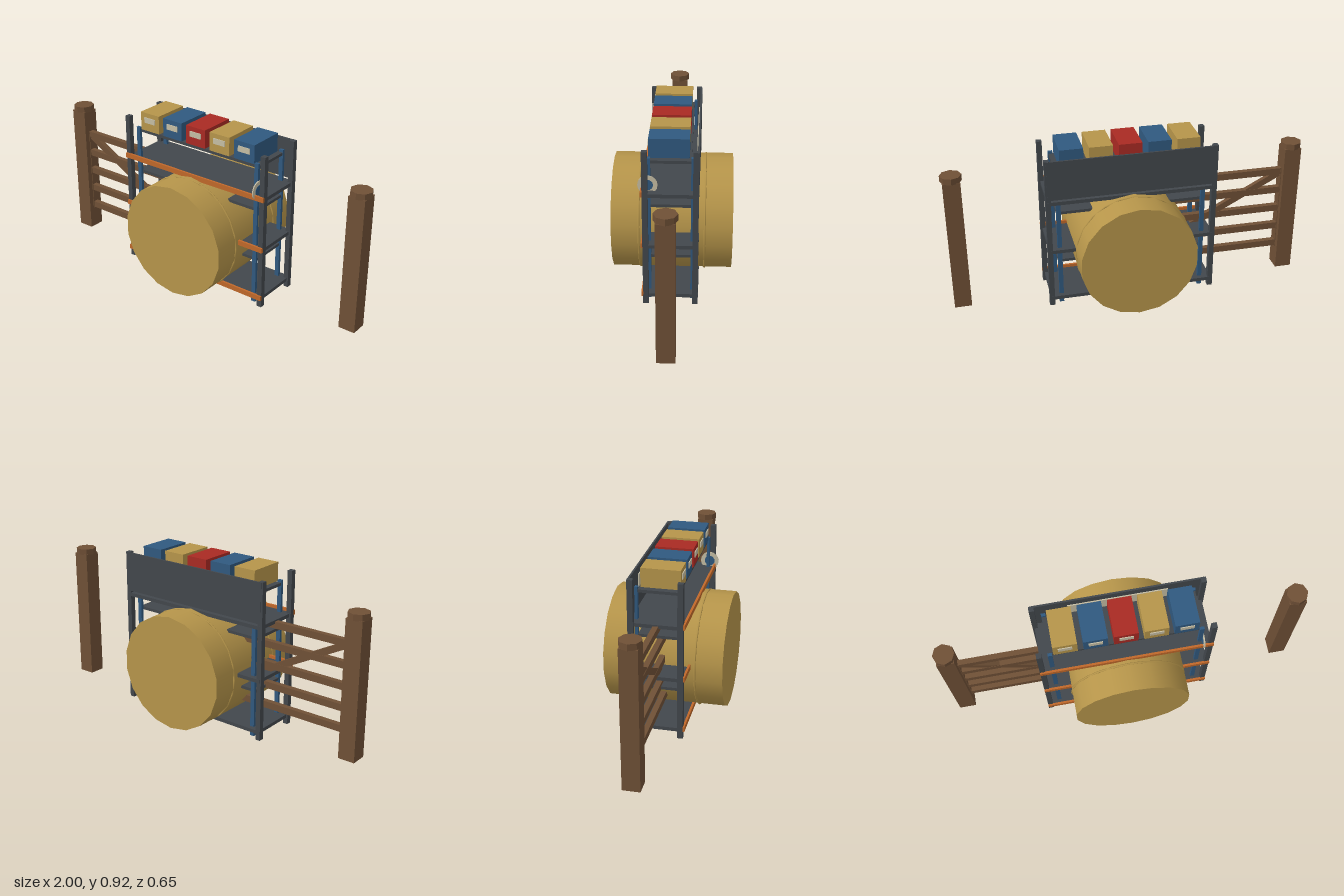
import * as THREE from 'three';

const paint = (name, color) => {
  const m = new THREE.MeshStandardMaterial({ color });
  m.name = name;
  return m;
};

export function createModel() {
  const root = new THREE.Group();
  root.name = 'farmStore';
  const wood = paint('brownWood', 0x6f5036);
  const straw = paint('straw', 0xb6954a);
  const blue = paint('blue', 0x30597f);
  const red = paint('red', 0xa92a23);
  const orange = paint('orange', 0xc0682a);
  const steel = paint('darkSteel', 0x42474c);
  const cream = paint('cream', 0xc6bea4);

  const group = (name) => {
    const g = new THREE.Group();
    g.name = name;
    root.add(g);
    return g;
  };
  const add = (parent, name, geometry, material, x, y, z) => {
    const m = new THREE.Mesh(geometry, material);
    m.name = name;
    m.position.set(x, y, z);
    parent.add(m);
    return m;
  };
  // Box given by its extents
  const box = (parent, name, material, x0, x1, y0, y1, z0, z1) =>
    add(parent, name, new THREE.BoxGeometry(x1 - x0, y1 - y0, z1 - z0), material,
      (x0 + x1) / 2, (y0 + y1) / 2, (z0 + z1) / 2);

  // Gate posts with eight-sided caps
  for (const s of [-1, 1]) {
    const post = group(s < 0 ? 'rightGatePost' : 'leftGatePost');
    const x = s * 0.942;
    box(post, 'postShaft', wood, x - 0.047, x + 0.047, 0.005, 0.768, -0.047, 0.047);
    const cap = new THREE.CylinderGeometry(0.058, 0.058, 0.034, 8).toNonIndexed();
    cap.computeVertexNormals();
    add(post, 'postCap', cap, wood, x, 0.783, 0);
  }

  // Five-bar gate with a diagonal brace
  const gate = group('gate');
  for (const y of [0.155, 0.272, 0.389, 0.506, 0.623]) {
    box(gate, 'gateRail', wood, -0.9, 0.02, y - 0.019, y + 0.019, -0.015, 0.015);
  }
  for (const x of [-0.91, 0]) box(gate, 'gateStile', wood, x - 0.019, x + 0.019, 0.13, 0.64, -0.018, 0.018);
  const dx = 0.88, dy = -0.47;
  const brace = add(gate, 'gateBrace', new THREE.BoxGeometry(Math.hypot(dx, dy), 0.036, 0.026), wood, -0.44, 0.375, 0);
  brace.rotation.z = Math.atan2(dy, dx);
  box(gate, 'gatePlate', straw, -0.255, -0.08, 0.605, 0.632, 0.015, 0.022);

  // Round bale lying along z, with two twine bands
  const bale = group('roundBale');
  add(bale, 'baleBody', new THREE.CylinderGeometry(0.322, 0.322, 0.65, 18).rotateX(Math.PI / 2), straw, 0, 0.328, 0);
  for (const z of [-0.176, 0.176]) {
    add(bale, 'baleTwine', new THREE.TorusGeometry(0.32, 0.006, 6, 24), straw, 0, 0.328, z);
  }

  // Outer rack: steel uprights, boards, side bars and orange front beams
  const rack = group('outerRack');
  for (const x of [-0.456, 0.456]) {
    for (const z of [-0.13, 0.13]) {
      box(rack, 'rackUpright', steel, x - 0.014, x + 0.014, 0.005, 0.887, z - 0.015, z + 0.015);
    }
  }
  for (const y of [0.05, 0.345, 0.64]) {
    box(rack, 'rackBoard', steel, -0.46, 0.46, y - 0.01, y + 0.01, -0.146, 0.14);
    box(rack, 'rackBeam', orange, -0.47, 0.47, y - 0.002, y + 0.026, 0.142, 0.154);
  }
  box(rack, 'backPanel', steel, -0.46, 0.46, 0.662, 0.885, -0.147, -0.137);
  box(rack, 'panelSign', cream, -0.268, 0.268, 0.74, 0.84, -0.137, -0.131);

  // Inner shelf unit with blue legs
  const shelves = group('innerShelves');
  for (const x of [-0.4, 0.4]) {
    for (const z of [-0.112, 0.112]) {
      box(shelves, 'shelfLeg', blue, x - 0.012, x + 0.012, 0.005, 0.828, z - 0.008, z + 0.008);
    }
  }
  for (const y of [0.038, 0.264, 0.56, 0.807]) {
    box(shelves, 'shelfBoard', steel, -0.41, 0.41, y - 0.008, y + 0.008, -0.105, 0.108);
  }

  // Storage boxes with front labels
  const boxes = group('storageBoxes');
  [straw, blue, red, straw, blue].forEach((material, i) => {
    const x = (i - 2) * 0.159;
    box(boxes, 'storageBox', material, x - 0.064, x + 0.064, 0.818, 0.922, -0.095, 0.114);
    box(boxes, 'boxLabel', cream, x - 0.037, x + 0.037, 0.865, 0.896, 0.114, 0.119);
  });

  // Thin round tag with a blue centre on the left side
  const tag = group('roundTag');
  add(tag, 'tagDisc', new THREE.CylinderGeometry(0.052, 0.052, 0.006, 16).rotateZ(Math.PI / 2), cream, 0.414, 0.682, 0.118);
  add(tag, 'tagCentre', new THREE.CylinderGeometry(0.029, 0.029, 0.01, 16).rotateZ(Math.PI / 2), blue, 0.414, 0.682, 0.118);

  // Red tray under the bale
  const tray = group('floorTray');
  box(tray, 'trayBase', red, -0.095, 0.095, 0.009, 0.022, -0.052, 0.052);
  for (const z of [-0.04, 0, 0.04]) box(tray, 'trayBar', red, -0.09, 0.09, 0, 0.01, z - 0.005, z + 0.005);

  return root;
}
